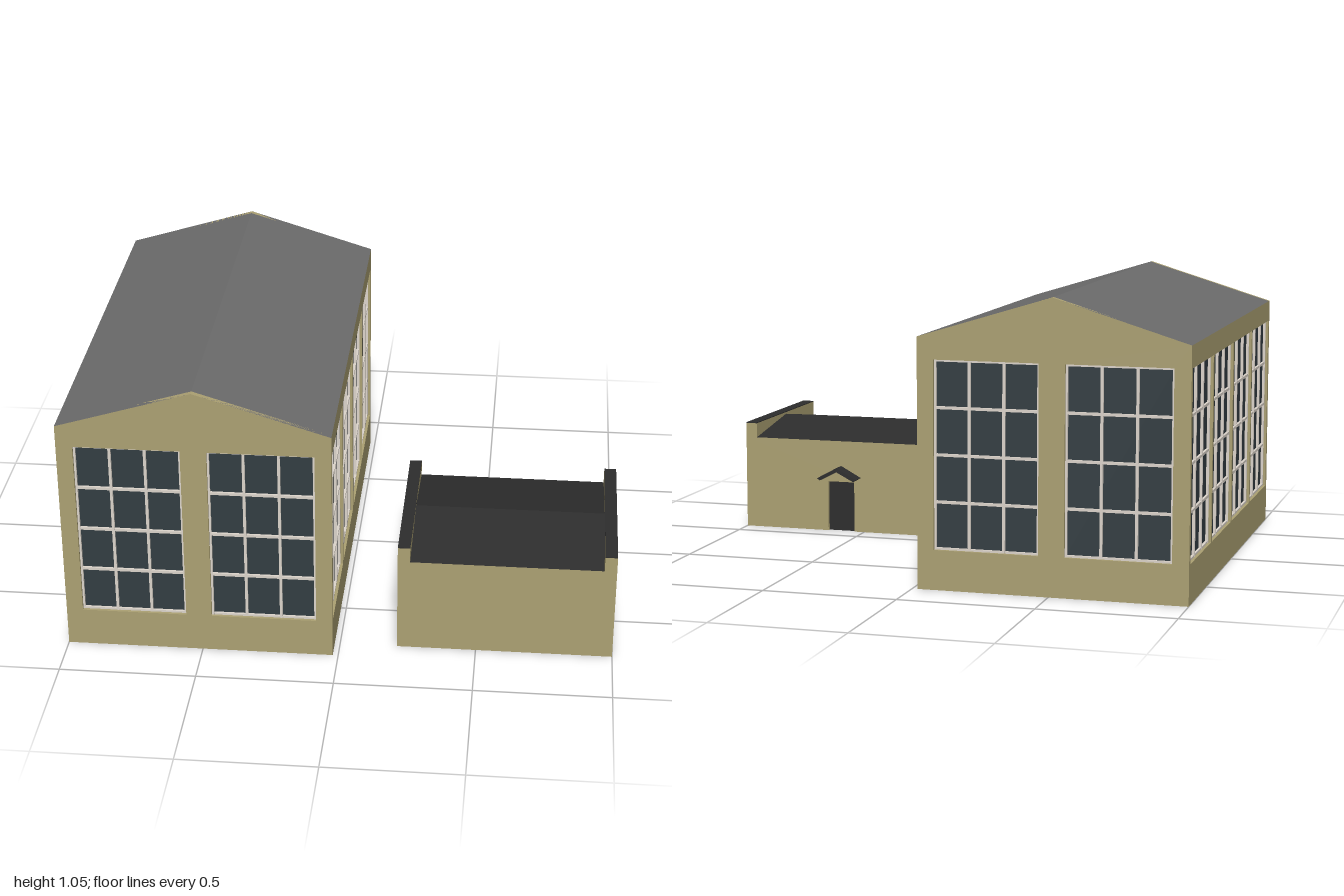
import * as THREE from 'three';

const mat = (color, side = THREE.FrontSide) => {
  const m = new THREE.MeshStandardMaterial({ side });
  m.color.set(color);
  return m;
};
const WALL = mat(0xaca173), GLASS = mat(0x333d42), BAR = mat(0xddd5cc);
const ROOF = mat(0x6c6c6c, THREE.DoubleSide), DARK = mat(0x2d2d2d, THREE.DoubleSide);
const RECESS = 0.02;

function add(parent, name, geometry, material, x = 0, y = 0, z = 0) {
  const mesh = new THREE.Mesh(geometry, material);
  mesh.name = name;
  mesh.position.set(x, y, z);
  parent.add(mesh);
  return mesh;
}
const box = (parent, name, material, x0, x1, y0, y1, z0, z1) =>
  add(parent, name, new THREE.BoxGeometry(x1 - x0, y1 - y0, z1 - z0), material,
    (x0 + x1) / 2, (y0 + y1) / 2, (z0 + z1) / 2);

const polygon = (pts, Type = THREE.Shape) => new Type(pts.map(p => new THREE.Vector2(...p)));
const extrude = (shape, depth) => new THREE.ExtrudeGeometry(shape, { depth, bevelEnabled: false });

// Window of 3 x 4 panes set back in its opening, outer wall face at z = 0
function addWindow(parent, x0, x1, y0, y1) {
  const win = new THREE.Group();
  win.name = 'window';
  parent.add(win);
  const back = -RECESS, front = back + 0.01, t = 0.005;
  box(win, 'glass', GLASS, x0, x1, y0, y1, back - 0.01, back);
  for (let i = 0; i <= 3; i++) {
    const x = THREE.MathUtils.lerp(x0 + t / 2, x1 - t / 2, i / 3);
    box(win, 'verticalBar', BAR, x - t, x + t, y0, y1, back, front);
  }
  for (let j = 0; j <= 4; j++) {
    const y = THREE.MathUtils.lerp(y0 + t / 2, y1 - t / 2, j / 4);
    box(win, 'horizontalBar', BAR, x0, x1, y - t, y + t, back, front - 0.001);
  }
}

// Wall facing +z with window openings
function windowWall(name, outline, spans, y0, y1) {
  const wall = new THREE.Group();
  wall.name = name;
  const shape = polygon(outline);
  for (const [a, b] of spans) {
    shape.holes.push(polygon([[a, y0], [a, y1], [b, y1], [b, y0]], THREE.Path));
    addWindow(wall, a, b, y0, y1);
  }
  add(wall, 'wallFace', extrude(shape, RECESS), WALL, 0, 0, -RECESS);
  return wall;
}

// Two thin roof slopes with the ridge along z
function gableRoof(name, halfWidth, eave, ridge, length, material) {
  const roof = new THREE.Group();
  roof.name = name;
  const run = Math.hypot(halfWidth, ridge - eave);
  for (const s of [-1, 1]) {
    const plane = new THREE.PlaneGeometry(run, length).rotateX(-Math.PI / 2);
    const slope = add(roof, 'roofSlope', plane, material, s * halfWidth / 2, (eave + ridge) / 2, 0);
    slope.rotation.z = -s * Math.atan2(ridge - eave, halfWidth);
  }
  return roof;
}

function createHall() {
  const hall = new THREE.Group();
  hall.name = 'mainHall';
  const W = 0.49, D = 0.82, EAVE = 0.905, RIDGE = 1.055, Y0 = 0.145, Y1 = 0.825;
  const gable = [[-W, 0], [W, 0], [W, EAVE], [0, RIDGE], [-W, EAVE]];
  const L = D - RECESS;
  const side = [[-L, 0], [L, 0], [L, EAVE], [-L, EAVE]];
  const sideSpans = [[-0.797, -0.414], [-0.396, -0.01], [0.01, 0.396], [0.414, 0.797]];
  for (const s of [1, -1]) {
    const end = windowWall(s > 0 ? 'frontGable' : 'backGable', gable,
      [[-0.43, -0.047], [0.047, 0.43]], Y0, Y1);
    end.position.z = s * D;
    end.rotation.y = s > 0 ? 0 : Math.PI;
    const long = windowWall(s > 0 ? 'leftWall' : 'rightWall', side, sideSpans, Y0, Y1);
    long.position.x = s * W;
    long.rotation.y = s * Math.PI / 2;
    hall.add(end, long);
  }
  box(hall, 'floor', WALL, -W + RECESS, W - RECESS, 0, 0.02, -L, L);
  hall.add(gableRoof('hallRoof', W, EAVE, RIDGE, 2 * D, ROOF));
  hall.position.x = -0.51;
  return hall;
}

function createAnnex() {
  const annex = new THREE.Group();
  annex.name = 'annex';
  const X0 = 0.21, X1 = 1, Z0 = 0.09, Z1 = 0.74, EAVE = 0.365, TOP = 0.425, P = 0.045;
  const C = 0.595, DOOR = 0.055, DOOR_TOP = 0.2;
  box(annex, 'body', WALL, X0, X1, 0, EAVE, Z0 + 0.02, Z1);

  // Rear wall with the doorway cut out
  const rear = polygon([[X0, 0], [C - DOOR, 0], [C - DOOR, DOOR_TOP], [C + DOOR, DOOR_TOP],
    [C + DOOR, 0], [X1, 0], [X1, EAVE], [X0, EAVE]]);
  add(annex, 'rearWall', extrude(rear, 0.02), WALL, 0, 0, Z0);
  box(annex, 'door', DARK, C - DOOR, C + DOOR, 0, DOOR_TOP, Z0 + 0.012, Z0 + 0.02);

  // Raised side walls with dark caps
  for (const x of [X0, X1 - P]) {
    box(annex, 'parapet', WALL, x, x + P, EAVE, TOP - 0.003, Z0, Z1);
    box(annex, 'parapetCap', DARK, x, x + P, TOP - 0.003, TOP, Z0, Z1);
  }

  // Low roof between the parapets, ridge along x
  const roof = gableRoof('annexRoof', (Z1 - Z0) / 2, EAVE, 0.415, X1 - X0 - 2 * P, DARK);
  roof.rotation.y = Math.PI / 2;
  roof.position.set((X0 + X1) / 2, 0, (Z0 + Z1) / 2);
  annex.add(roof);

  // Small pitched canopy over the door
  const canopy = polygon([[-0.083, 0.22], [-0.07, 0.212], [0, 0.248], [0.07, 0.212],
    [0.083, 0.22], [0, 0.265]]);
  add(annex, 'doorCanopy', extrude(canopy, 0.057), DARK, C, 0, Z0 - 0.057);
  return annex;
}

export function createModel() {
  const model = new THREE.Group();
  model.name = 'hallWithAnnex';
  model.add(createHall(), createAnnex());
  return model;
}
